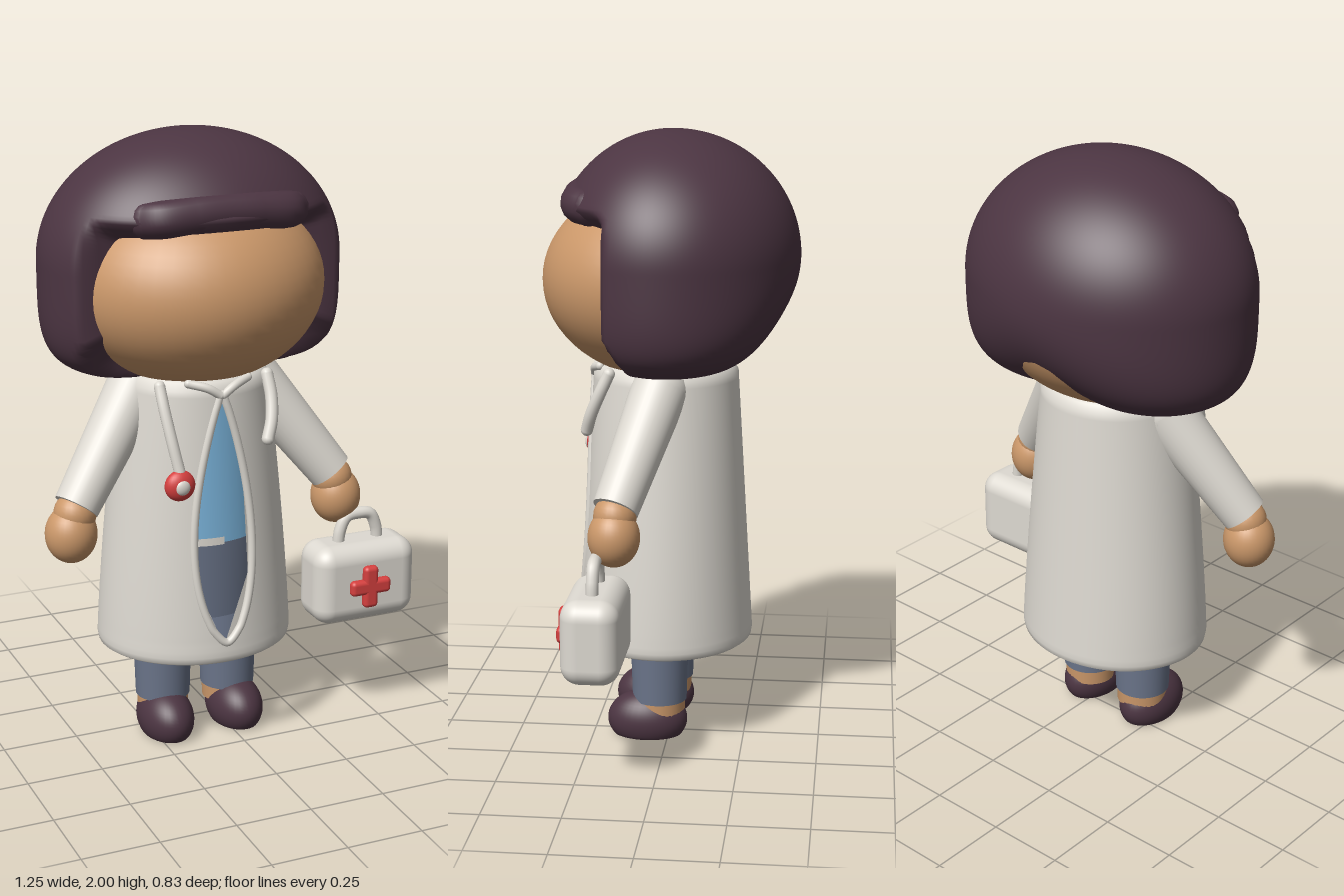
import * as THREE from 'three';
import { mergeVertices } from 'three/addons/utils/BufferGeometryUtils.js';
import { RoundedBoxGeometry } from 'three/addons/geometries/RoundedBoxGeometry.js';

const CX = -0.085; // body axis
const V = (x, y, z) => new THREE.Vector3(x, y, z);
const mat = (name, color, side = THREE.FrontSide) => {
  const m = new THREE.MeshStandardMaterial({ color, side });
  m.name = name;
  return m;
};

// Smooth sheet from a rule over u, v in 0..1 index steps
function sheet(cols, rows, rule) {
  const pos = [], idx = [];
  for (let j = 0; j <= rows; j++) {
    for (let i = 0; i <= cols; i++) pos.push(...rule(i / cols, j));
  }
  for (let j = 0; j < rows; j++) {
    for (let i = 0; i < cols; i++) {
      const a = j * (cols + 1) + i, b = a + 1, c = a + cols + 1, d = c + 1;
      idx.push(a, b, c, b, d, c);
    }
  }
  const g = new THREE.BufferGeometry();
  g.setAttribute('position', new THREE.Float32BufferAttribute(pos, 3));
  g.setIndex(idx);
  const m = mergeVertices(g, 1e-4);
  m.computeVertexNormals();
  return m;
}

// Sphere whose vertices are moved by a rule, welded so it stays smooth
function shapedSphere(w, h, rule) {
  let g = new THREE.SphereGeometry(1, w, h);
  g.deleteAttribute('uv');
  g.deleteAttribute('normal');
  g = mergeVertices(g, 1e-4);
  const p = g.attributes.position, v = new THREE.Vector3();
  for (let i = 0; i < p.count; i++) {
    rule(v.fromBufferAttribute(p, i));
    p.setXYZ(i, v.x, v.y, v.z);
  }
  g.computeVertexNormals();
  return g;
}

// Coat radii and half width of the front opening at a height
const coatRx = y => 0.325 - 0.085 * Math.pow(Math.max(0, (y - 0.32) / 0.93), 1.3);
const coatRz = y => 0.29 - 0.055 * (y - 0.32) / 0.93;
function gapWidth(y) {
  const t = (y - 0.39) / 0.82;
  return t <= 0 || t >= 1 ? 0 : 0.1 * Math.pow(Math.sin(Math.PI * Math.pow(t, 0.72)), 0.8);
}

export function createModel() {
  const root = new THREE.Group();
  root.name = 'doctorFigure';
  const white = mat('coat white', 0xdedad2, THREE.DoubleSide);
  const hairMat = mat('dark plum', 0x4c3542);
  const skin = mat('skin tan', 0xcb986a);
  const blue = mat('shirt blue', 0x7ab3da);
  const slate = mat('trouser slate', 0x6b758a);
  const red = mat('red', 0xd6403f);
  const add = (name, geo, material, x = 0, y = 0, z = 0) => {
    const m = new THREE.Mesh(geo, material);
    m.name = name;
    m.position.set(x, y, z);
    root.add(m);
    return m;
  };
  const tube = (name, pts, r, material, closed = false) => {
    const c = new THREE.CatmullRomCurve3(pts, closed);
    const mesh = add(name, new THREE.TubeGeometry(c, pts.length * 10, r, 14, closed), material);
    if (!closed) {
      for (const p of [pts[0], pts[pts.length - 1]]) {
        add(name + 'End', new THREE.SphereGeometry(r, 14, 10), material, p.x, p.y, p.z);
      }
    }
    return mesh;
  };

  // Head
  add('face', new THREE.SphereGeometry(1, 48, 32), skin, CX, 1.52, 0.02).scale.set(0.42, 0.32, 0.4);

  // Bob hair: full at the sides, sunk under the face at the front opening
  const hair = shapedSphere(128, 96, v => {
    if (v.y < 0) {
      const c = Math.hypot(v.x, v.z), side = c > 1e-5 ? Math.abs(v.x / c) : 0;
      const n = 2 + 3 * side * side;
      v.multiplyScalar(Math.pow(Math.pow(c, n) + Math.pow(-v.y, n), -1 / n));
    }
    v.x *= 0.49;
    v.y *= v.y > 0 ? 0.4 : 0.36;
    v.z *= v.z > 0 ? 0.385 : 0.415;
    const y = v.y + 1.6;
    const edge = 0.195 - 0.6 * Math.max(0, 1.38 - y);
    const open = THREE.MathUtils.smoothstep(v.z, edge - 0.025, edge + 0.03)
      * (1 - THREE.MathUtils.smoothstep(y, 1.72, 1.77));
    v.multiplyScalar(1 - 0.27 * open);
  });
  add('hair', hair, hairMat, CX, 1.6, 0);
  tube('fringe', [[-0.235, 1.77, 0.235], [-0.2, 1.775, 0.27], [-0.1, 1.785, 0.284], [0, 1.788, 0.286],
    [0.1, 1.785, 0.284], [0.2, 1.775, 0.27], [0.235, 1.77, 0.235]]
    .map(([x, y, z]) => V(CX + x, y, z)), 0.058, hairMat);

  // Coat: inner wall, rounded hem, outer wall, shoulder cap
  const profile = [[0.9, 0.03], [0.6, 0.03], [0.37, 0.03], [0.33, 0.025], [0.32, 0.014], [0.327, 0.004]];
  for (let i = 0; i <= 44; i++) profile.push([0.345 + 0.875 * i / 44, 0]);
  profile.push([1.245, 0.012], [1.255, 0.04], [1.26, 0.1], [1.262, 0.23]);
  const coat = sheet(72, profile.length - 1, (u, j) => {
    const [y, inset] = profile[j];
    const rx = coatRx(y) - inset, rz = coatRz(y) - inset;
    const g = Math.asin(Math.min(1, gapWidth(y) / rx));
    const a = g + u * (2 * Math.PI - 2 * g);
    return [CX + rx * Math.sin(a), y, 0.02 + rz * Math.cos(a)];
  });
  add('coat', coat, white);

  // Rolled edge around the opening
  const rim = [];
  for (let i = 0; i < 40; i++) {
    const s = i < 20 ? 1 : -1, k = i < 20 ? i / 20 : (40 - i) / 20;
    const y = 0.39 + 0.82 * k, w = s * gapWidth(y);
    rim.push(V(CX + w, y, 0.015 + coatRz(y) * Math.sqrt(1 - (w / coatRx(y)) ** 2)));
  }
  tube('coatEdge', rim, 0.013, white, true);

  // Shirt, hem strip and trousers
  const drum = (name, top, bottom, rt, rb, m, ...arc) => {
    const g = new THREE.CylinderGeometry(rt, rb, top - bottom, 40, 1, ...arc);
    add(name, g, m, CX, (top + bottom) / 2, 0.02).scale.z = 0.93;
  };
  drum('shirt', 1.24, 0.71, 0.2, 0.235, blue);
  drum('shirtHem', 0.73, 0.705, 0.239, 0.24, white, true, -0.5, 0.56);
  drum('hips', 0.71, 0.45, 0.234, 0.225, slate);

  for (const s of [-1, 1]) {
    // Legs and shoes
    const lx = CX + s * 0.117;
    add('leg', new THREE.CylinderGeometry(0.102, 0.09, 0.38, 32), slate, lx, 0.315, 0.03);
    add('ankle', new THREE.CylinderGeometry(0.086, 0.084, 0.06, 32), skin, lx, 0.105, 0.03);
    const shoe = shapedSphere(36, 28, v => v.set(v.x * 0.09, Math.max(0, 0.055 + v.y * 0.098), v.z * 0.133));
    add('shoe', shoe, hairMat, lx + s * 0.008, 0, 0.07);

    // Sleeve, cuff and hand
    const top = V(CX + s * 0.2, 1.19, 0.02), cuff = V(CX + s * 0.442, 0.86, 0.132);
    const dir = cuff.clone().sub(top);
    const sleeve = add('sleeve', new THREE.CylinderGeometry(0.073, 0.092, dir.length(), 32), white);
    sleeve.position.copy(top).addScaledVector(dir, 0.5);
    sleeve.quaternion.setFromUnitVectors(V(0, 1, 0), dir.clone().normalize());
    add('shoulder', new THREE.SphereGeometry(0.092, 28, 20), white, top.x, top.y, top.z);
    add('hand', new THREE.SphereGeometry(1, 32, 24), skin, CX + s * 0.462, 0.775, 0.135)
      .scale.set(0.083, 0.094, 0.082);
    add('wrist', new THREE.SphereGeometry(0.068, 24, 16), skin, CX + s * 0.447, 0.84, 0.133);

    // Lapel fold
    tube('lapel', [V(CX + s * 0.005, 1.205, 0.255), V(CX + s * 0.045, 1.23, 0.25), V(CX + s * 0.1, 1.245, 0.225)],
      0.014, white);
  }

  // Stethoscope
  tube('listeningTube', [V(-0.265, 1.235, 0.185), V(-0.262, 1.17, 0.215), V(-0.25, 1.07, 0.25), V(-0.235, 0.98, 0.272)],
    0.018, white);
  tube('earTube', [V(0.1, 1.235, 0.185), V(0.102, 1.17, 0.215), V(0.09, 1.1, 0.245), V(0.07, 1.045, 0.262)],
    0.02, white);
  add('chestPiece', new THREE.SphereGeometry(1, 28, 20), red, -0.236, 0.936, 0.276).scale.set(0.05, 0.05, 0.032);
  add('chestPieceCentre', new THREE.SphereGeometry(1, 24, 16), white, -0.236, 0.936, 0.298)
    .scale.set(0.026, 0.026, 0.015);

  // First aid bag
  add('bag', new RoundedBoxGeometry(0.365, 0.27, 0.185, 6, 0.06), white, 0.4375, 0.495, 0.185);
  tube('bagHandle', [V(0.365, 0.61, 0.185), V(0.372, 0.665, 0.185), V(0.395, 0.71, 0.185), V(0.4375, 0.717, 0.185),
    V(0.48, 0.71, 0.185), V(0.503, 0.665, 0.185), V(0.51, 0.61, 0.185)], 0.02, white);
  add('crossBar', new RoundedBoxGeometry(0.145, 0.052, 0.034, 4, 0.015), red, 0.437, 0.492, 0.283);
  add('crossPost', new RoundedBoxGeometry(0.052, 0.145, 0.034, 4, 0.015), red, 0.437, 0.492, 0.283);

  return root;
}
